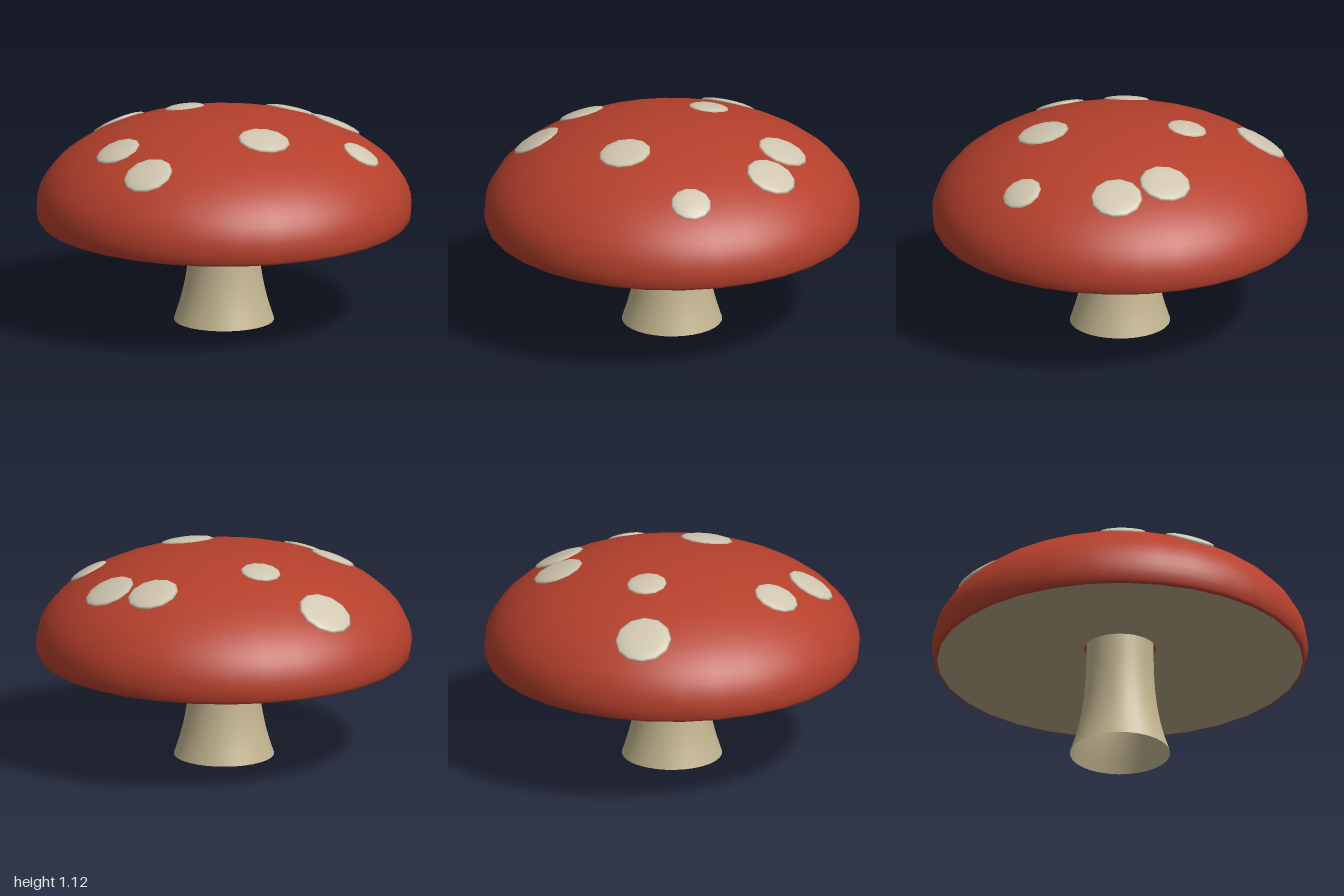
import * as THREE from 'three';

const SEGMENTS = 32;
const RIM_Y = 0.62;
const DOME_H = 0.5;

function lathe(name, points, color) {
  const geometry = new THREE.LatheGeometry(points.map(([r, y]) => new THREE.Vector2(r, y)), SEGMENTS);
  const mesh = new THREE.Mesh(geometry, new THREE.MeshStandardMaterial({ color, side: THREE.DoubleSide }));
  mesh.name = name;
  return mesh;
}

export function createModel() {
  const group = new THREE.Group();
  group.name = 'mushroom';

  // Stem: flared at the foot, open at the bottom, running up into the cap
  const stemCurve = new THREE.SplineCurve([
    [0.267, 0], [0.235, 0.1], [0.211, 0.2], [0.195, 0.3], [0.185, 0.4], [0.18, 0.5], [0.178, 0.66],
  ].map(([r, y]) => new THREE.Vector2(r, y)));
  group.add(lathe('stem', stemCurve.getPoints(14).map((p) => [p.x, p.y]), 0xc2b48f));

  // Cap: rounded lip below an elliptical dome
  const cap = [[0.972, 0.545], [0.983, 0.549], [0.991, 0.562], [0.997, 0.59]];
  const steps = 18;
  for (let i = 0; i <= steps; i++) {
    const a = (i / steps) * Math.PI / 2;
    cap.push([i === steps ? 0 : Math.cos(a), RIM_Y + DOME_H * Math.sin(a)]);
  }
  group.add(lathe('cap', cap, 0xb5402c));

  // Underside: shallow hollow rising towards the stem
  group.add(lathe('underside', [[0.19, 0.612], [0.45, 0.59], [0.72, 0.567], [0.972, 0.545]], 0xb8a988));

  // Spots: flattened domes lying on the cap, given as x, z, radius
  const spots = new THREE.Group();
  spots.name = 'spots';
  const spotMaterial = new THREE.MeshStandardMaterial({ color: 0xd0c6b0 });
  const up = new THREE.Vector3(0, 1, 0);
  [
    [-0.62, -0.47, 0.15], [-0.24, -0.265, 0.108], [0.3, -0.53, 0.138], [0.555, -0.4, 0.138],
    [0.745, 0.09, 0.108], [0.25, 0.325, 0.14], [-0.53, 0.36, 0.123], [-0.335, 0.66, 0.134],
  ].forEach(([x, z, r], i) => {
    const h = Math.sqrt(1 - x * x - z * z);
    const normal = new THREE.Vector3(x, h / DOME_H, z).normalize();
    const spot = new THREE.Mesh(new THREE.SphereGeometry(r, 12, 8), spotMaterial);
    spot.name = `spot${i + 1}`;
    spot.scale.y = 0.022 / r;
    spot.position.set(x, RIM_Y + DOME_H * h, z).addScaledVector(normal, -0.005);
    spot.quaternion.setFromUnitVectors(up, normal);
    spots.add(spot);
  });
  group.add(spots);

  return group;
}
